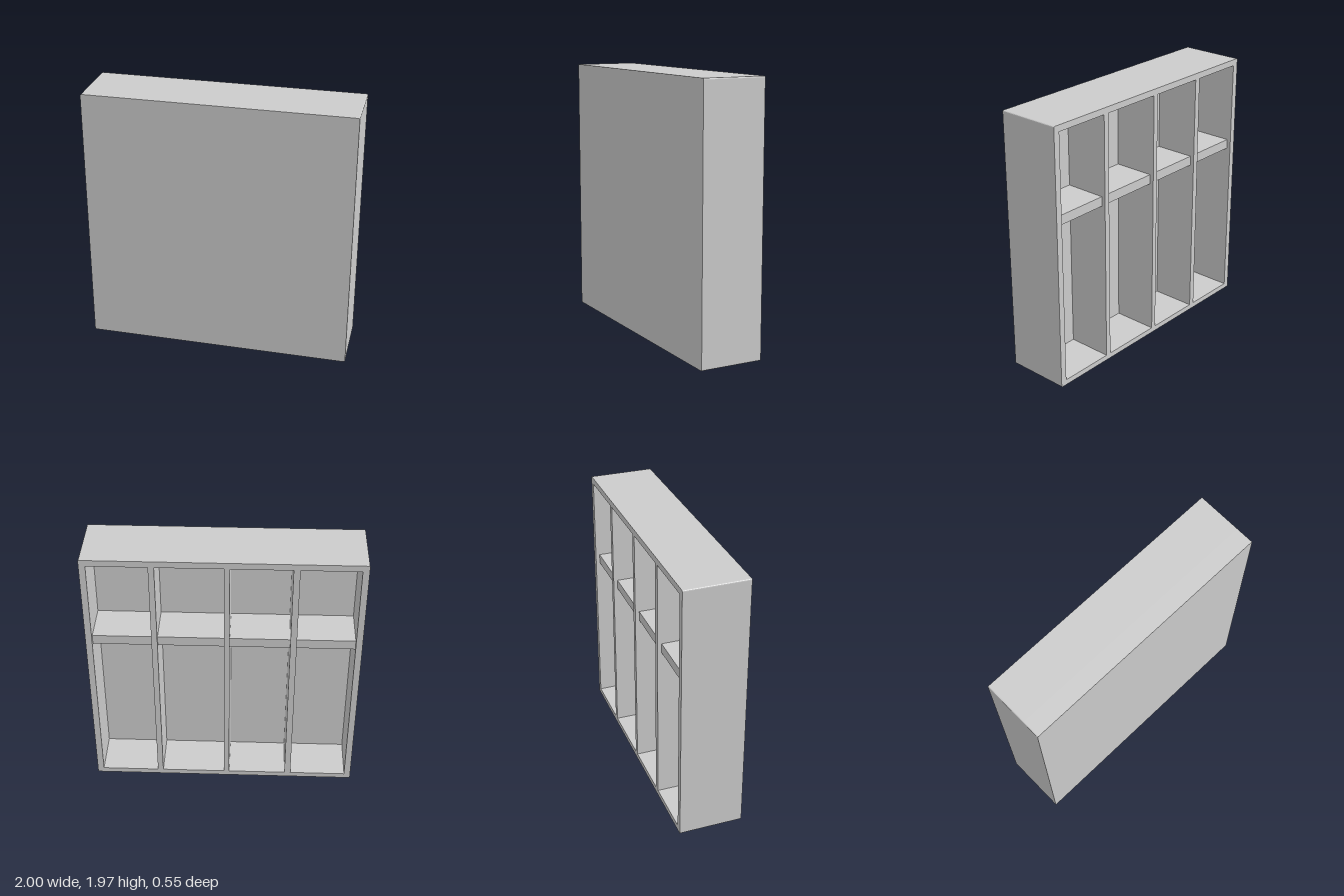
import * as THREE from 'three';

const W = 1.98, H = 1.97, D = 0.475;   // outer size
const RECESS = 0.34;                   // depth of the open compartments
const R = 0.01;                        // softened outer corners

// Compartments as [left, right] offsets measured from the +x side
const BAYS = [[0.047, 0.474], [0.516, 0.993], [1.033, 1.467], [1.513, 1.933]];
const FLOOR = 0.04, CEILING = H - 0.047;

function outline() {
  const s = new THREE.Shape(), x = W / 2;
  s.moveTo(-x + R, 0).lineTo(x - R, 0).quadraticCurveTo(x, 0, x, R);
  s.lineTo(x, H - R).quadraticCurveTo(x, H, x - R, H);
  s.lineTo(-x + R, H).quadraticCurveTo(-x, H, -x, H - R);
  s.lineTo(-x, R).quadraticCurveTo(-x, 0, -x + R, 0);
  return s;
}

export function createModel() {
  const model = new THREE.Group();
  model.name = 'shelfCabinet';
  const material = new THREE.MeshStandardMaterial({ color: 0xcccccc });

  function add(name, geometry, x, y, z) {
    const mesh = new THREE.Mesh(geometry, material);
    mesh.name = name;
    mesh.position.set(x, y, z);
    model.add(mesh);
  }
  const extrude = (shape, depth) =>
    new THREE.ExtrudeGeometry(shape, { depth, bevelEnabled: false, curveSegments: 3 });

  // Outer walls and dividers, open to the back
  const frame = outline();
  for (const [a, b] of BAYS) {
    const l = W / 2 - b, r = W / 2 - a;
    const hole = new THREE.Path();
    hole.moveTo(l, FLOOR).lineTo(l, CEILING).lineTo(r, CEILING).lineTo(r, FLOOR).closePath();
    frame.holes.push(hole);
  }
  add('frame', extrude(frame, RECESS), 0, 0, -D / 2);

  // Plain panel closing the front
  add('frontPanel', extrude(outline(), D - RECESS), 0, 0, -D / 2 + RECESS);

  // One shelf per compartment, set slightly in from the open side
  const inset = 0.03, thickness = 0.072;
  for (const [a, b] of BAYS) {
    add('shelf', new THREE.BoxGeometry(b - a, thickness, RECESS - inset),
      W / 2 - (a + b) / 2, 1.28, -D / 2 + (RECESS + inset) / 2);
  }

  // The whole cabinet stands slightly turned
  model.rotation.y = 0.037;
  return model;
}
